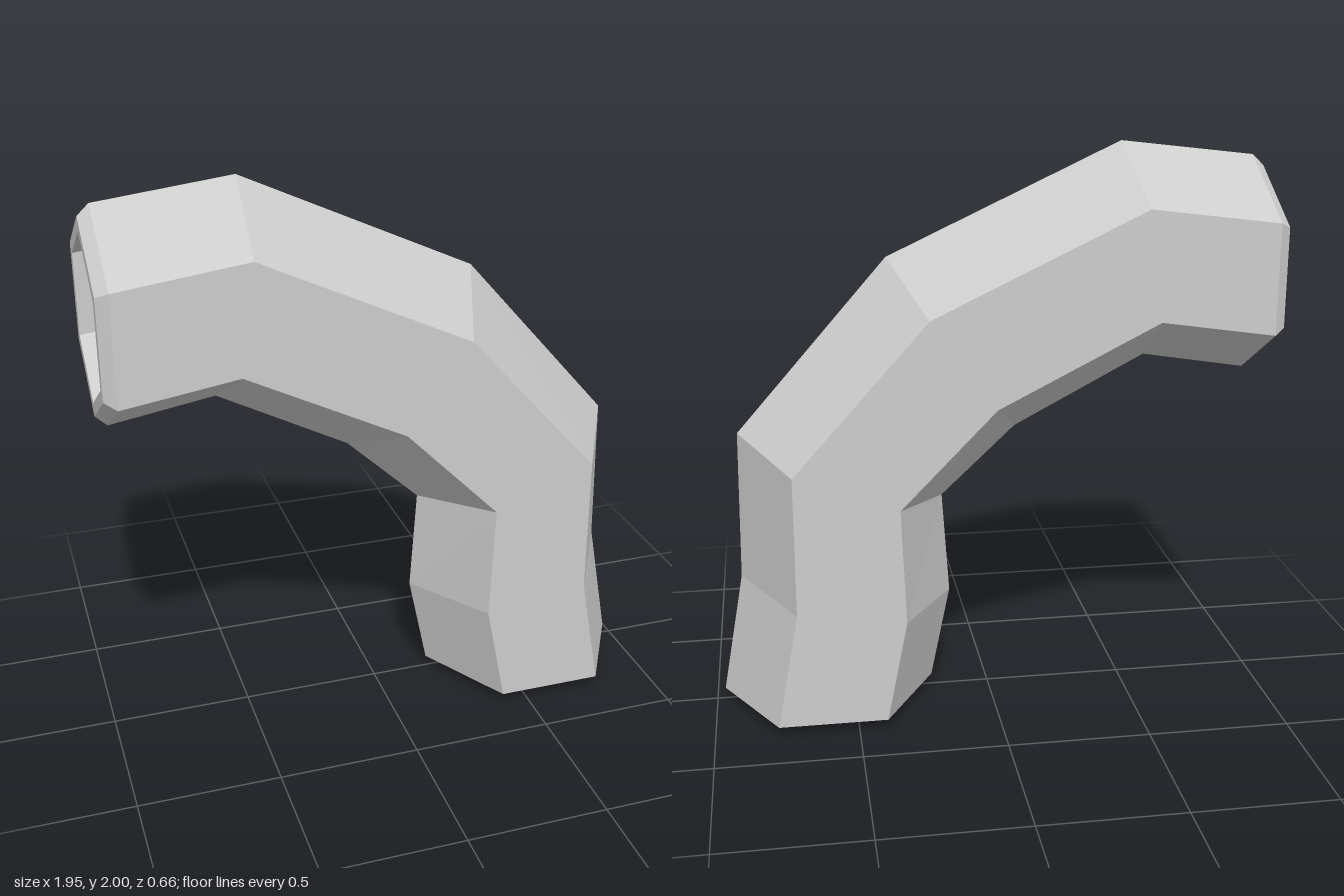
import * as THREE from 'three';

// Bend stations from foot to mouth: outer ridge x, y and inner ridge x, y
const stations = [
  [0.97, 0.04, 0.21, 0.04],
  [0.89, 0.48, 0.14, 0.38],
  [0.88, 1.015, 0.165, 0.75],
  [0.35, 1.62, -0.10, 1.0],
  [-0.465, 2.0, -0.565, 1.245],
  [-0.935, 1.945, -0.935, 1.185],
];
const HALF_DEPTH = 0.33;

// Hexagon corners: position across the bend (1 outer, -1 inner) and depth
const corners = [[1, 0], [0.5, 1], [-0.5, 1], [-1, 0], [-0.5, -1], [0.5, -1]];

function ring([ox, oy, ix, iy], scale = 1, dx = 0, dy = 0) {
  const cx = (ox + ix) / 2 + dx, cy = (oy + iy) / 2 + dy;
  const rx = (ox - ix) / 2 * scale, ry = (oy - iy) / 2 * scale;
  return corners.map(([r, d]) => [cx + rx * r, cy + ry * r, HALF_DEPTH * scale * d]);
}

// Flat-faced skin through a list of hexagonal rings
function skin(rings) {
  const positions = [];
  for (let i = 0; i < rings.length - 1; i++) {
    for (let k = 0; k < 6; k++) {
      const n = (k + 1) % 6;
      const a = rings[i][k], b = rings[i][n], c = rings[i + 1][n], d = rings[i + 1][k];
      positions.push(...a, ...d, ...b, ...b, ...d, ...c);
    }
  }
  const geometry = new THREE.BufferGeometry();
  geometry.setAttribute('position', new THREE.Float32BufferAttribute(positions, 3));
  geometry.computeVertexNormals();
  return geometry;
}

export function createModel() {
  const group = new THREE.Group();
  group.name = 'bentHexPipe';
  const grey = new THREE.MeshStandardMaterial({ color: 0xcccccc, flatShading: true });
  grey.name = 'lightGrey';

  const foot = stations[0], mouth = stations[5];
  const footHole = ring(foot, 0.76, 0, -0.04);
  const mouthHole = ring(mouth, 0.77, -0.04);
  const bore = stations.slice(1, 5).map((s) => ring(s, 0.77));

  const parts = {
    outerWall: stations.map((s) => ring(s)),
    // Chamfer and flat rim around the mouth
    mouthRim: [ring(mouth), ring(mouth, 0.9, -0.04), mouthHole],
    innerWall: [mouthHole, ...bore.reverse(), footHole],
    // Sloping rim under the foot
    footRim: [footHole, ring(foot)],
  };
  for (const [name, rings] of Object.entries(parts)) {
    const mesh = new THREE.Mesh(skin(rings), grey);
    mesh.name = name;
    group.add(mesh);
  }
  return group;
}
